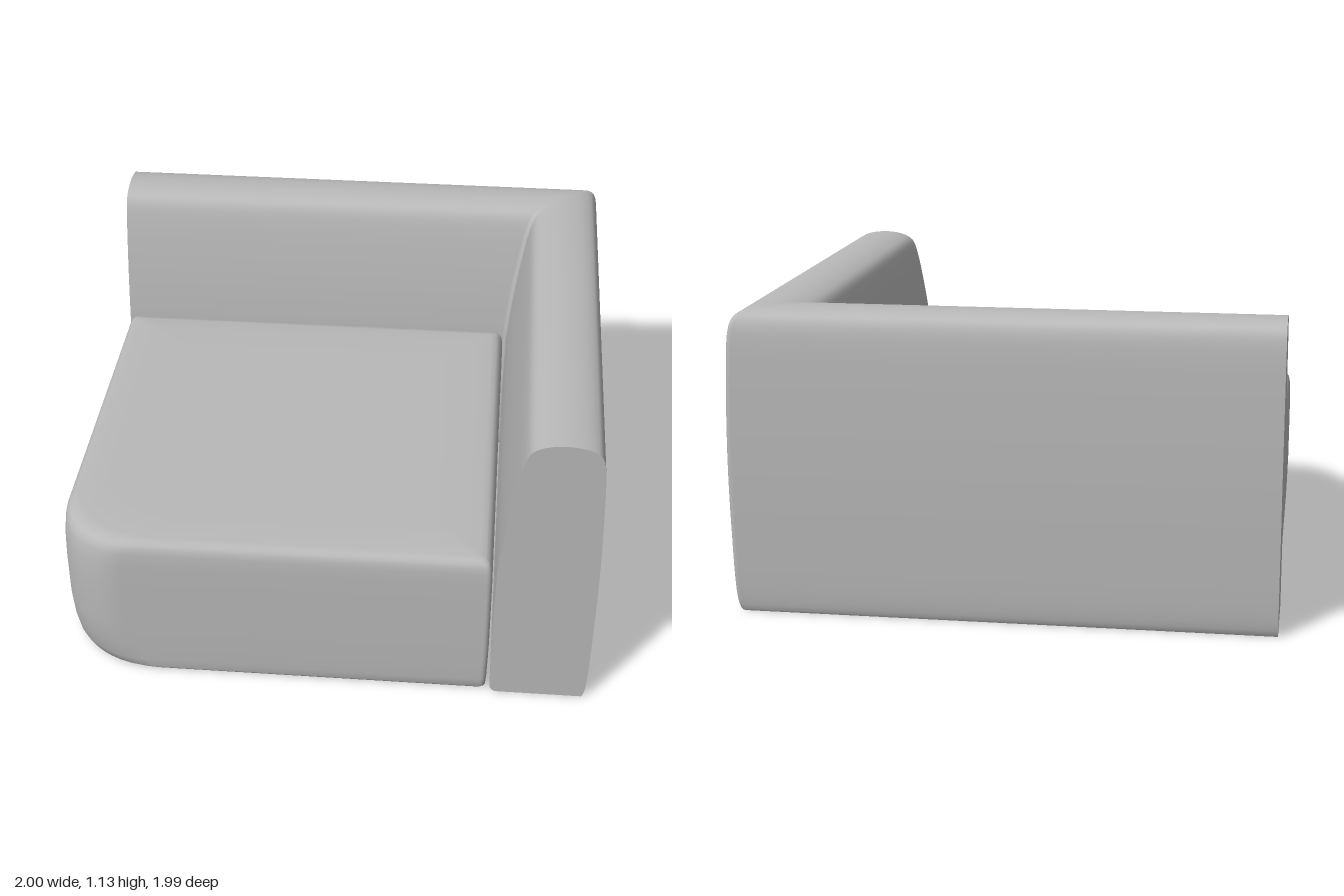
import * as THREE from 'three';

const fabric = new THREE.MeshStandardMaterial({ color: 0xb8b8b8 });
fabric.name = 'grey fabric';

// Smooth skin over rows of equally many points, optionally closed along each row.
function skin(rows, closed) {
  const n = rows[0].length, index = [];
  for (let i = 0; i < rows.length - 1; i++) {
    for (let j = 0; j < (closed ? n : n - 1); j++) {
      const k = (j + 1) % n;
      const a = i * n + j, b = a + n, c = i * n + k, d = c + n;
      index.push(a, b, c, b, d, c);
    }
  }
  const geometry = new THREE.BufferGeometry();
  geometry.setAttribute('position', new THREE.Float32BufferAttribute(rows.flat(2), 3));
  geometry.setIndex(index);
  geometry.computeVertexNormals();
  return geometry;
}

function part(name, geometry) {
  const mesh = new THREE.Mesh(geometry, fabric);
  mesh.name = name;
  return mesh;
}

// Cross-section of the backrest: x is the distance in from the outer face.
function backrestProfile() {
  const s = new THREE.Shape();
  s.moveTo(0.03, 0);
  s.bezierCurveTo(0.014, 0.015, 0.01, 0.1, 0.006, 0.3);
  s.bezierCurveTo(0, 0.5, 0, 0.7, 0.008, 0.95);
  s.bezierCurveTo(0.012, 1.04, 0.015, 1.09, 0.04, 1.108);
  s.bezierCurveTo(0.08, 1.14, 0.2, 1.143, 0.25, 1.115);
  s.bezierCurveTo(0.285, 1.1, 0.29, 1.06, 0.305, 1.0);
  s.bezierCurveTo(0.335, 0.85, 0.355, 0.72, 0.368, 0.56);
  s.lineTo(0.373, 0.3);
  s.lineTo(0.373, 0.03);
  s.quadraticCurveTo(0.372, 0.005, 0.35, 0);
  s.lineTo(0.03, 0);
  return s.getPoints(8);
}

// Horizontal path at depth d: along the back, round the corner, forward along the side.
function backrestPath(d, y) {
  const r = 0.02, points = [[-1, y, -1 + d]];
  for (let k = 0; k <= 5; k++) {
    const a = (k / 5) * Math.PI / 2;
    points.push([1 - d - r + r * Math.sin(a), y, -1 + d + r - r * Math.cos(a)]);
  }
  points.push([1 - d, y, 0.99]);
  return points;
}

function createBackrest() {
  const group = new THREE.Group();
  group.name = 'backrest';
  const profile = backrestProfile();
  group.add(part('backrestCover', skin(profile.map(p => backrestPath(p.x, p.y)), false)));

  // Flat end panels
  const panel = f => new THREE.ShapeGeometry(
    new THREE.Shape(profile.slice(0, -1).map(p => new THREE.Vector2(f(p.x), p.y))));
  group.add(part('sideEndPanel', panel(d => 1 - d).translate(0, 0, 0.99)));
  group.add(part('backEndPanel', panel(d => -1 + d).rotateY(-Math.PI / 2).translate(-1, 0, 0)));
  return group;
}

// Seat outline at one height, with a large radius at the free front corner.
function seatOutline(y, inset, bigRadius) {
  const x0 = -0.995 + inset, x1 = 0.617 - inset, z0 = -0.622 + inset, z1 = 0.99 - inset;
  const small = 0.02;
  const corners = [
    [x1, z1, -1, -1, small, 0], [x0, z1, 1, -1, bigRadius, 1],
    [x0, z0, 1, 1, small, 2], [x1, z0, -1, 1, small, 3],
  ];
  const points = [];
  for (const [x, z, sx, sz, r, turn] of corners) {
    for (let k = 0; k <= 12; k++) {
      const a = (turn + k / 12) * Math.PI / 2;
      points.push([x + sx * r + r * Math.cos(a), y, z + sz * r + r * Math.sin(a)]);
    }
  }
  return points;
}

function createSeat() {
  // Height, inset and front-corner radius from the underside to the top
  const levels = [
    [0.002, 0.03, 0.36], [0.004, 0.015, 0.355], [0.015, 0.007, 0.34], [0.05, 0.004, 0.31],
    [0.12, 0.002, 0.275], [0.22, 0, 0.25], [0.4, 0, 0.24], [0.5, 0, 0.25], [0.55, 0.002, 0.265],
    [0.575, 0.006, 0.275], [0.59, 0.014, 0.285], [0.6, 0.027, 0.295], [0.605, 0.05, 0.3],
    [0.609, 0.12, 0.28], [0.611, 0.25, 0.2],
  ];
  const rows = levels.map(l => seatOutline(...l));
  const centre = y => rows[0].map(() => [-0.19, y, 0.184]);
  return part('seat', skin([centre(0.002), ...rows, centre(0.612)], true));
}

export function createModel() {
  const model = new THREE.Group();
  model.name = 'cornerSofa';
  model.add(createBackrest(), createSeat());
  return model;
}
